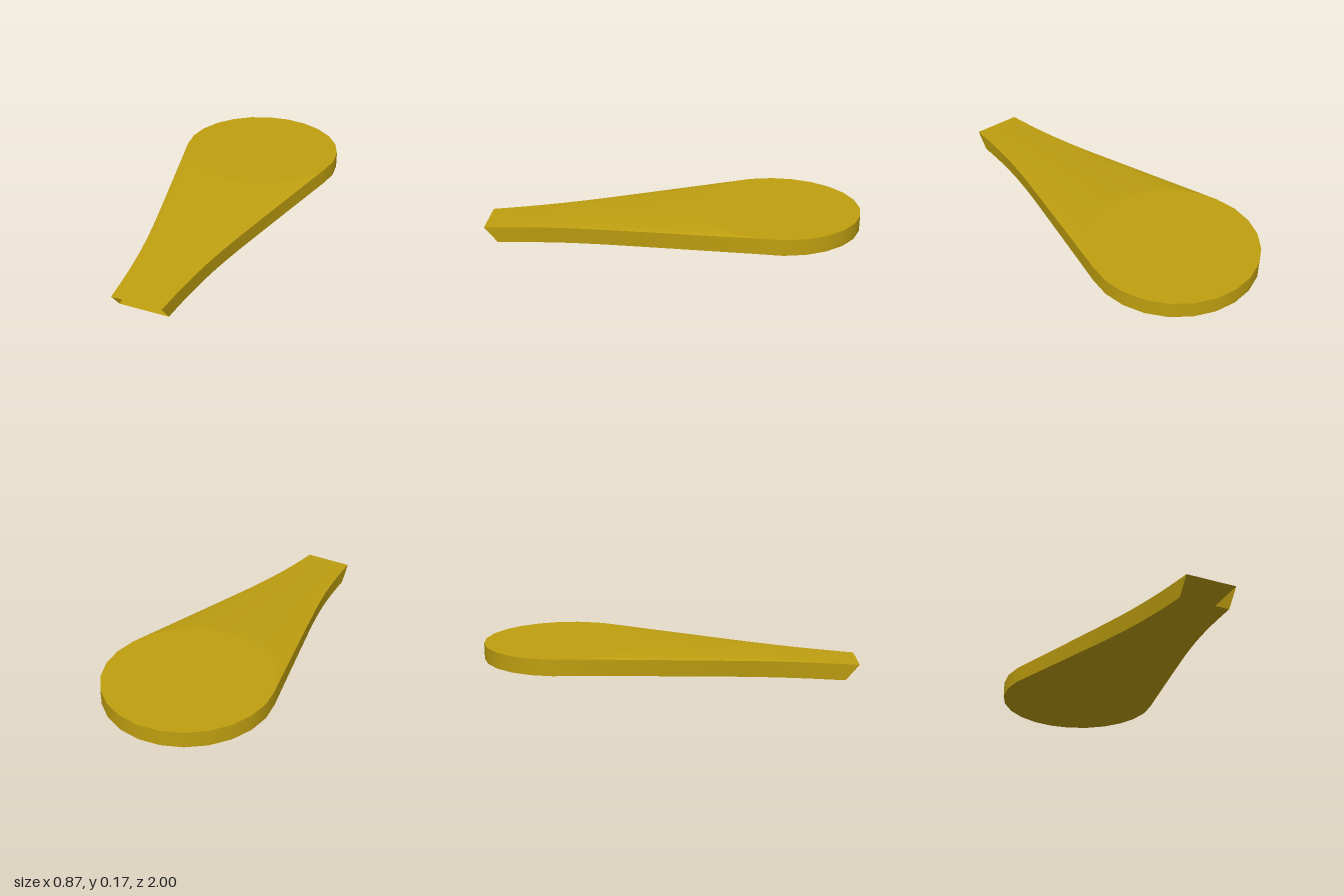
import * as THREE from 'three';
import { toCreasedNormals } from 'three/addons/utils/BufferGeometryUtils.js';

const R = 0.437, CZ = -0.563;          // round bowl: radius and centre
const TOP = 0.173, DROP = 0.085;       // bowl height and depth of the body
const END_TOP = 0.088, END_Z = 1, END_Z_LOW = 0.93;
const JOIN = 75;                       // degrees from +z where the neck meets the bowl
const STEPS = 24;

const material = new THREE.MeshStandardMaterial({ color: 0xbf9f10, side: THREE.DoubleSide });
const { lerp } = THREE.MathUtils;

// Half width of the neck against z, flaring from the open end to the bowl
const flare = new THREE.SplineCurve([
  [1, 0.13], [0.8, 0.149], [0.6, 0.178], [0.4, 0.218], [0.2, 0.265], [-0.1, 0.337], [-0.45, 0.422],
].map(([z, w]) => new THREE.Vector2(z, w)));

const onCircle = (deg, y) => {
  const a = THREE.MathUtils.degToRad(deg);
  return new THREE.Vector3(R * Math.sin(a), y, CZ + R * Math.cos(a));
};

// Skin a grid of points; flip reverses the facing
function skin(name, rows, flip) {
  const pos = [];
  const tri = (a, b, c) => {
    if (a === b || b === c || a === c) return;
    for (const p of flip ? [a, c, b] : [a, b, c]) pos.push(p.x, p.y, p.z);
  };
  for (let i = 0; i < rows.length - 1; i++) {
    for (let j = 0; j < rows[i].length - 1; j++) {
      const [a, b, c, d] = [rows[i][j], rows[i][j + 1], rows[i + 1][j], rows[i + 1][j + 1]];
      tri(a, b, c);
      tri(b, d, c);
    }
  }
  const geo = new THREE.BufferGeometry();
  geo.setAttribute('position', new THREE.Float32BufferAttribute(pos, 3));
  const mesh = new THREE.Mesh(toCreasedNormals(geo, 0.5), material);
  mesh.name = name;
  return mesh;
}

// Rows running from the straight open end to the front arc of the bowl
function neckRows(endZ, drop) {
  const rows = [];
  const edge = onCircle(JOIN, 0).x;
  for (let i = 0; i <= STEPS; i++) {
    const p = flare.getPoint(i / STEPS);
    const t = (1 - p.x) / 1.45;
    const row = [];
    for (let deg = -JOIN; deg <= JOIN; deg += 5) {
      const q = onCircle(deg, 0);
      row.push(new THREE.Vector3(
        q.x / edge * p.y, lerp(END_TOP, TOP, t) - drop, lerp(endZ, q.z, t)));
    }
    rows.push(row);
  }
  return rows;
}

// Bowl outline: fine along the neck crease, 15 degree facets round the back
function discRows(y) {
  const rim = [];
  for (let deg = -JOIN; deg < JOIN; deg += 5) rim.push(onCircle(deg, y));
  for (let deg = JOIN; deg <= 360 - JOIN; deg += 15) rim.push(onCircle(deg, y));
  const centre = new THREE.Vector3(0, y, CZ);
  return [rim.map(() => centre), rim];
}

// Outer edge: along one side of the neck, round the bowl and back
function perimeter(rows, y) {
  const back = [];
  for (let deg = JOIN + 15; deg < 360 - JOIN; deg += 15) back.push(onCircle(deg, y));
  return [
    ...rows.map((r) => r[r.length - 1]),
    ...back,
    ...rows.map((r) => r[0]).reverse(),
  ];
}

export function createModel() {
  const group = new THREE.Group();
  group.name = 'paddle';
  const upper = neckRows(END_Z, 0);
  const lower = neckRows(END_Z_LOW, DROP);
  group.add(
    skin('neckTop', upper, false),
    skin('neckUnderside', lower, true),
    skin('bowlTop', discRows(TOP), true),
    skin('bowlUnderside', discRows(TOP - DROP), false),
    // Side wall; the narrow front end stays open
    skin('sideWall', [perimeter(upper, TOP), perimeter(lower, TOP - DROP)], true),
  );
  return group;
}
